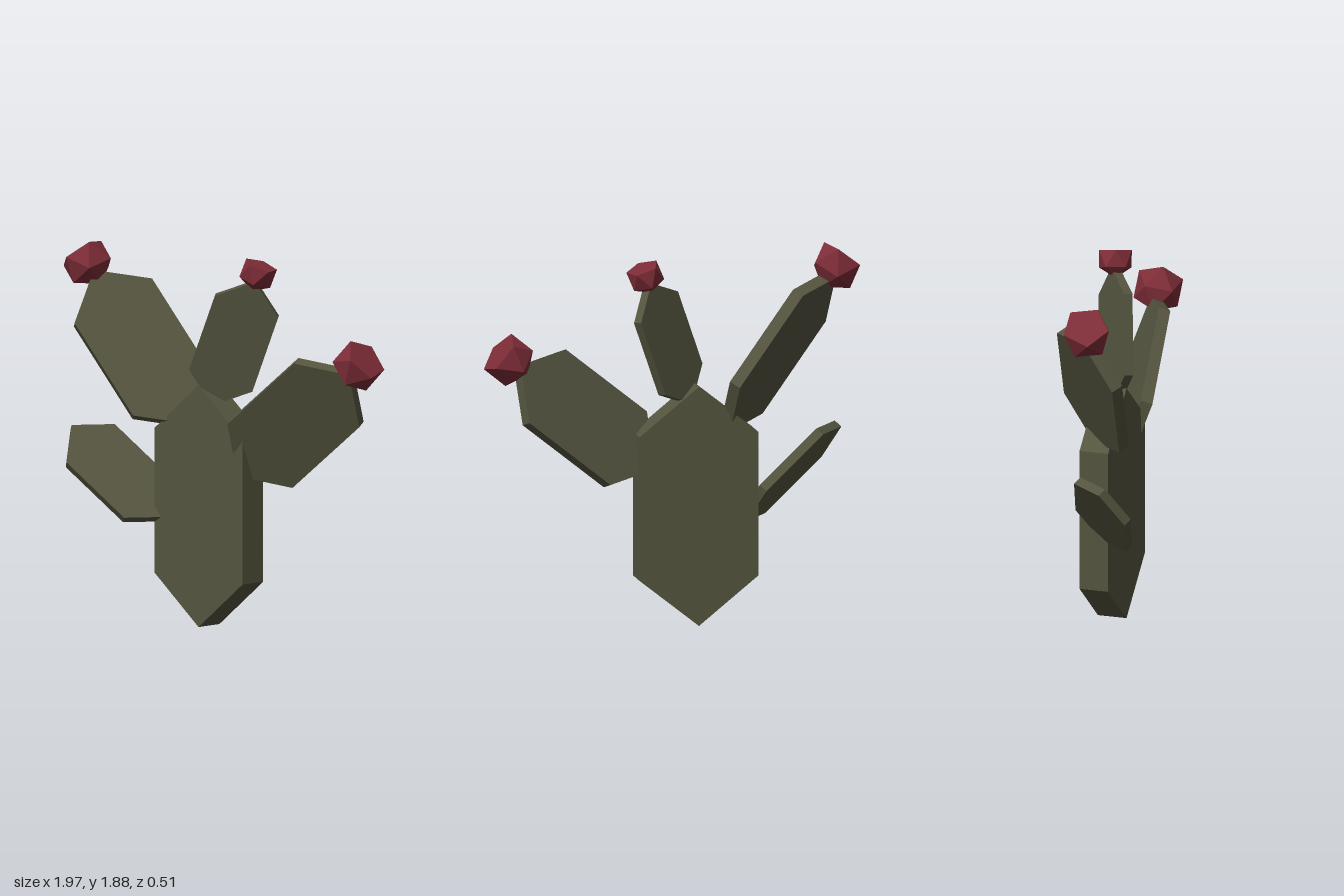
import * as THREE from 'three';

const green = new THREE.MeshStandardMaterial({ color: 0x54543f });
green.name = 'cactusGreen';
const red = new THREE.MeshStandardMaterial({ color: 0x7c2c37 });
red.name = 'flowerRed';

// Flat six-sided pad: long axis on y, face towards z, centred on the origin
function padGeometry(length, width, thickness) {
  const l = length / 2, w = width / 2, s = l * 0.6;
  const shape = new THREE.Shape([[0, -l], [w, -s], [w, s], [0, l], [-w, s], [-w, -s]]
    .map(([x, y]) => new THREE.Vector2(x, y)));
  return new THREE.ExtrudeGeometry(shape, { depth: thickness, bevelEnabled: false })
    .translate(0, 0, -thickness / 2);
}

// Icosahedron standing on one corner, with the opposite corner cut to a flat pentagon
function flowerGeometry(radius) {
  const geo = new THREE.IcosahedronGeometry(radius, 0);
  geo.rotateX(-Math.atan((1 + Math.sqrt(5)) / 2));
  const pos = geo.attributes.position;
  for (let i = 0; i < pos.count; i++) {
    pos.setY(i, Math.min(pos.getY(i), radius * 0.4472));
  }
  geo.computeVertexNormals();
  return geo;
}

// Aim a mesh: local y follows the growing direction, local z follows the facing
function aim(mesh, position, up, facing) {
  const y = up.clone().normalize();
  const x = y.clone().cross(facing).normalize();
  const z = x.clone().cross(y);
  mesh.quaternion.setFromRotationMatrix(new THREE.Matrix4().makeBasis(x, y, z));
  mesh.position.copy(position);
}

const pads = [
  { name: 'trunk', at: [-0.115, 0.61, -0.055], up: [0, 1, 0], face: [0, 0, 1],
    size: [1.22, 0.61, 0.15] },
  { name: 'upperRightPad', at: [-0.545, 1.358, -0.02], up: [-0.607, 0.786, 0.125],
    face: [0.665, 0.415, 0.622], size: [0.934, 0.455, 0.063], flower: 0.132 },
  { name: 'lowerRightPad', at: [-0.63, 0.73, 0.06], up: [-0.753, 0.62, 0.219],
    face: [0.634, 0.597, 0.492], size: [0.69, 0.337, 0.046] },
  { name: 'topPad', at: [0.032, 1.44, -0.083], up: [0.333, 0.936, -0.11],
    face: [0.616, -0.13, 0.765], size: [0.68, 0.335, 0.046], flower: 0.096 },
  { name: 'leftPad', at: [0.46, 1.077, -0.083], up: [0.775, 0.627, -0.074],
    face: [0.355, -0.337, 0.865], size: [0.915, 0.457, 0.062], flower: 0.132 },
];

export function createModel() {
  const model = new THREE.Group();
  model.name = 'cactus';
  for (const p of pads) {
    const up = new THREE.Vector3(...p.up).normalize();
    const centre = new THREE.Vector3(...p.at);
    const pad = new THREE.Mesh(padGeometry(...p.size), green);
    pad.name = p.name;
    aim(pad, centre, up, new THREE.Vector3(...p.face));
    model.add(pad);

    // Flower sunk slightly onto the tip of its pad
    if (p.flower) {
      const flower = new THREE.Mesh(flowerGeometry(p.flower), red);
      flower.name = p.name + 'Flower';
      const spot = centre.clone().addScaledVector(up, p.size[0] / 2 + p.flower * 0.45);
      aim(flower, spot, up, new THREE.Vector3(0, 0, 1));
      model.add(flower);
    }
  }
  return model;
}
